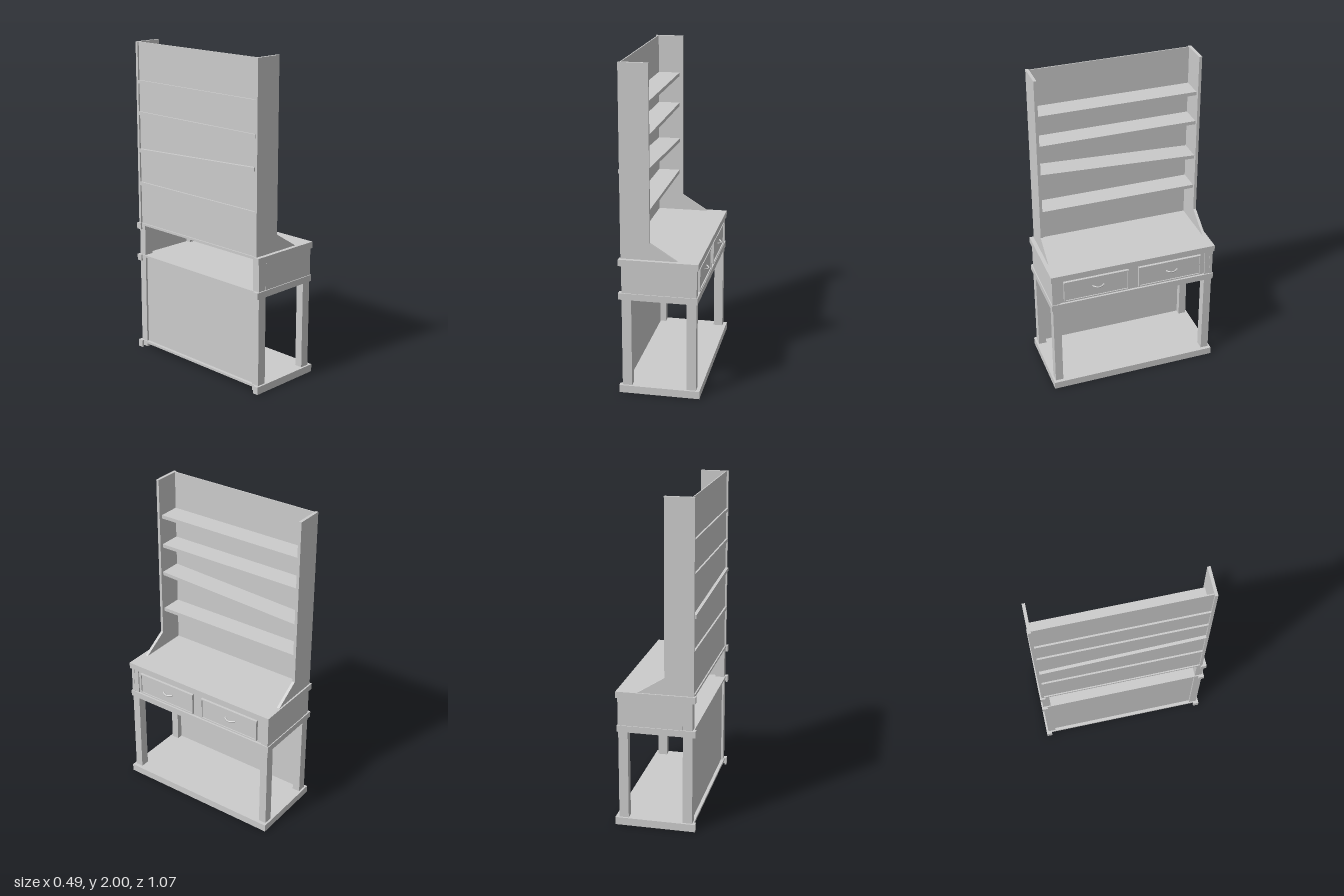
import * as THREE from 'three';

const material = new THREE.MeshStandardMaterial({ color: 0xcccccc, flatShading: true, side: THREE.DoubleSide });

function add(parent, name, geometry) {
  const mesh = new THREE.Mesh(geometry, material);
  mesh.name = name;
  parent.add(mesh);
  return mesh;
}

// Box given by its two extremes on each axis
function box(parent, name, [x0, x1], [y0, y1], [z0, z1]) {
  const mesh = add(parent, name, new THREE.BoxGeometry(x1 - x0, y1 - y0, z1 - z0));
  mesh.position.set((x0 + x1) / 2, (y0 + y1) / 2, (z0 + z1) / 2);
  return mesh;
}

// Board edged with a moulding on three sides that returns a little round the open back
function edgedBoard(parent, name, [x0, x1], [y0, y1], halfZ) {
  const group = new THREE.Group();
  group.name = name;
  parent.add(group);
  const t = 0.012;
  box(group, 'board', [x0 + 0.012, x1 - t], [y1 - 0.014, y1], [-halfZ + t, halfZ - t]);
  box(group, 'frontMoulding', [x1 - t, x1], [y0, y1], [-halfZ, halfZ]);
  for (const s of [-1, 1]) {
    const span = (a, b) => [Math.min(s * a, s * b), Math.max(s * a, s * b)];
    box(group, 'sideMoulding', [x0, x1 - t], [y0, y1], span(halfZ - t, halfZ));
    box(group, 'mouldingReturn', [x0, x0 + t], [y0, y1], span(halfZ - 0.035, halfZ - t));
  }
}

// Drawer front: raised frame, panel and a bowed pull
function drawer(parent, z0, z1) {
  const group = new THREE.Group();
  group.name = 'drawer';
  parent.add(group);
  const y0 = 0.65, y1 = 0.792, e = 0.008;
  box(group, 'drawerPanel', [0.2, 0.222], [y0, y1], [z0, z1]);
  for (const y of [y0, y1 - e]) box(group, 'drawerRail', [0.222, 0.229], [y, y + e], [z0, z1]);
  for (const z of [z0, z1 - e]) box(group, 'drawerStile', [0.222, 0.229], [y0 + e, y1 - e], [z, z + e]);
  const zc = (z0 + z1) / 2 - 0.012;
  const curve = new THREE.QuadraticBezierCurve3(
    new THREE.Vector3(0.222, 0.726, zc - 0.037),
    new THREE.Vector3(0.262, 0.718, zc),
    new THREE.Vector3(0.222, 0.726, zc + 0.037));
  add(group, 'drawerPull', new THREE.TubeGeometry(curve, 8, 0.005, 5));
}

export function createModel() {
  const model = new THREE.Group();
  model.name = 'dresser';

  // Three horizontal edged boards
  edgedBoard(model, 'base', [-0.247, 0.243], [0, 0.047], 0.535);
  edgedBoard(model, 'middleBoard', [-0.247, 0.227], [0.598, 0.638], 0.53);
  edgedBoard(model, 'worktop', [-0.245, 0.232], [0.808, 0.848], 0.531);

  // Legs, running up through the drawer case
  for (const s of [-1, 1]) {
    const z = s > 0 ? [0.473, 0.522] : [-0.522, -0.473];
    box(model, 'backLeg', [-0.228, -0.17], [0.008, 0.836], z);
    box(model, 'frontLeg', [0.162, 0.22], [0.008, 0.836], z);
    // Case side
    box(model, 'caseSide', [-0.17, 0.222], [0.636, 0.806], s > 0 ? [0.505, 0.524] : [-0.524, -0.505]);
  }

  // Drawer case front and lower back panel
  box(model, 'caseFront', [0.195, 0.212], [0.636, 0.836], [-0.475, 0.475]);
  box(model, 'lowerBackPanel', [-0.215, -0.207], [0.045, 0.626], [-0.475, 0.475]);
  drawer(model, 0.035, 0.45);
  drawer(model, -0.443, -0.03);

  // Hutch sides with a sloping foot
  const side = new THREE.Shape([
    [-0.235, 0.846], [0.105, 0.846], [-0.06, 0.95], [-0.06, 2], [-0.235, 2],
  ].map(([x, y]) => new THREE.Vector2(x, y)));
  for (const z of [-0.521, 0.488]) {
    const geometry = new THREE.ExtrudeGeometry(side, { depth: 0.018, bevelEnabled: false });
    add(model, 'hutchSide', geometry).position.z = z;
  }
  box(model, 'hutchBack', [-0.225, -0.218], [0.846, 2], [-0.504, 0.49]);

  // Shelves, one of them hanging crooked
  for (const y of [1.108, 1.558, 1.754]) {
    box(model, 'shelf', [-0.236, -0.082], [y - 0.011, y + 0.011], [-0.504, 0.49]);
  }
  const crooked = box(model, 'crookedShelf', [-0.244, -0.078], [1.334, 1.356], [-0.504, 0.49]);
  crooked.rotation.x = -0.047;

  return model;
}
